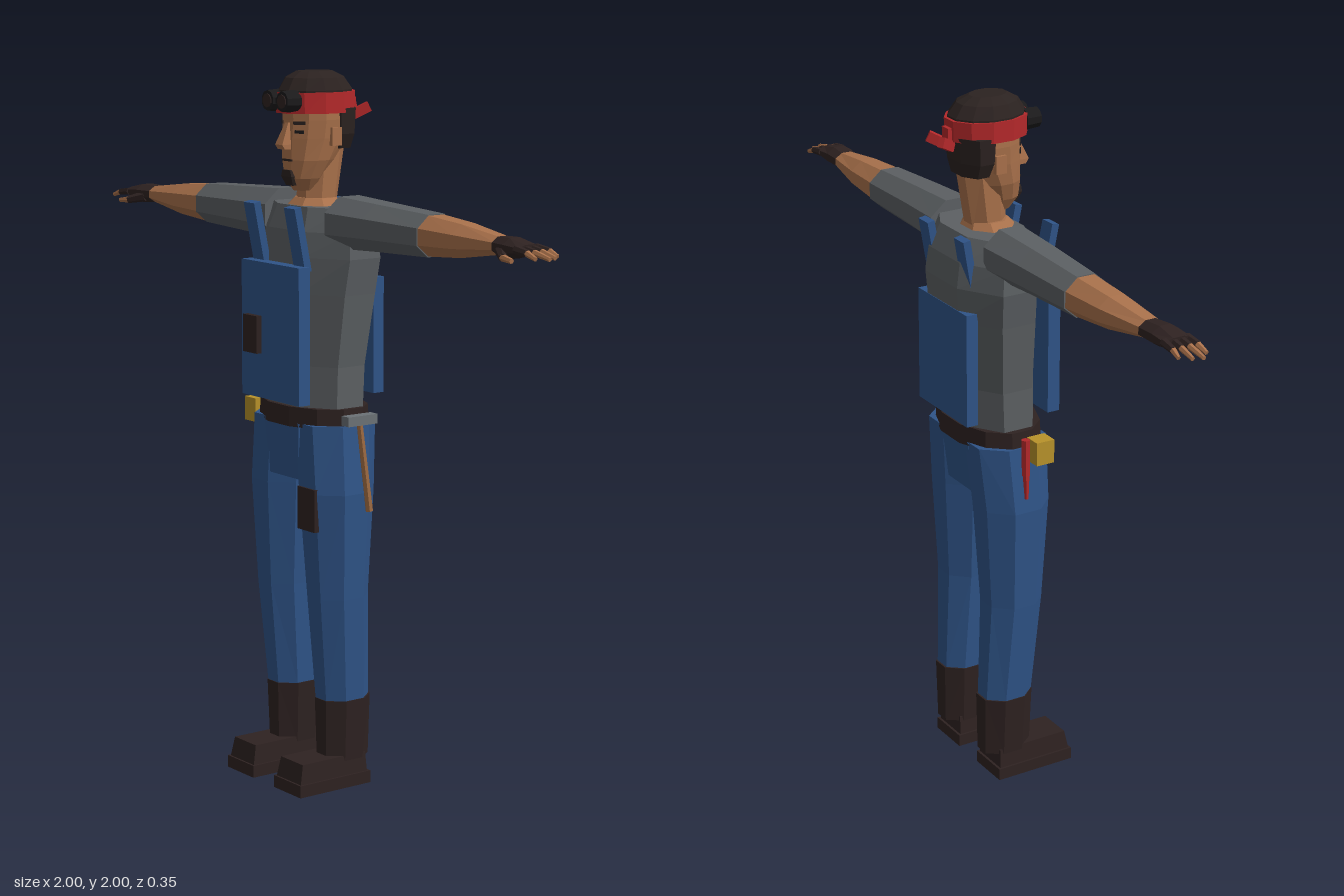
import * as THREE from 'three';

const paint = (name, color) => {
  const m = new THREE.MeshStandardMaterial({ color, flatShading: true });
  m.name = name;
  return m;
};

// Faceted body through rings [t, u0, u1, v0, v1] stacked along an axis.
// axis 1 (y): u = x, v = z.  axis 0 (x): u = z, v = y.
function loft(rings, n = 8, axis = 1) {
  const pos = [], idx = [];
  const grow = n === 4 ? Math.SQRT2 : 1 / Math.cos(Math.PI / n);
  const put = (t, u, v) => {
    const p = [0, 0, 0];
    p[axis] = t; p[(axis + 1) % 3] = v; p[(axis + 2) % 3] = u;
    pos.push(...p);
  };
  for (const [t, u0, u1, v0, v1] of rings) {
    for (let j = 0; j < n; j++) {
      const a = (j + 0.5) / n * Math.PI * 2;
      put(t, (u0 + u1) / 2 + (u1 - u0) / 2 * grow * Math.cos(a),
        (v0 + v1) / 2 + (v1 - v0) / 2 * grow * Math.sin(a));
    }
  }
  const last = (rings.length - 1) * n;
  for (let i = 0; i < last; i += n) {
    for (let j = 0; j < n; j++) {
      const a = i + j, b = i + (j + 1) % n;
      idx.push(a, a + n, b, b, a + n, b + n);
    }
  }
  for (let j = 1; j < n - 1; j++) idx.push(0, j, j + 1, last, last + j + 1, last + j);
  const g = new THREE.BufferGeometry();
  g.setAttribute('position', new THREE.Float32BufferAttribute(pos, 3));
  g.setIndex(idx);
  g.computeVertexNormals();
  return g;
}

// Rings that are symmetric in x: [y, halfWidth, zBack, zFront]
const body = (rings, n) => loft(rings.map(([y, w, b, f]) => [y, -w, w, b, f]), n);

const box = (x0, x1, y0, y1, z0, z1) =>
  new THREE.BoxGeometry(x1 - x0, y1 - y0, z1 - z0)
    .translate((x0 + x1) / 2, (y0 + y1) / 2, (z0 + z1) / 2);

// Tapered rod from p to q
function rod(p, q, r0, r1, n = 6) {
  const a = new THREE.Vector3(...p), b = new THREE.Vector3(...q);
  const d = b.clone().sub(a);
  const g = new THREE.CylinderGeometry(r1, r0, d.length(), n);
  g.applyQuaternion(new THREE.Quaternion().setFromUnitVectors(new THREE.Vector3(0, 1, 0), d.normalize()));
  return g.translate(...a.add(b).multiplyScalar(0.5).toArray());
}

function mirrorX(geo) {
  const g = geo.clone().scale(-1, 1, 1), ix = g.index;
  for (let i = 0; i < ix.count; i += 3) {
    const t = ix.getX(i);
    ix.setX(i, ix.getX(i + 1));
    ix.setX(i + 1, t);
  }
  return g;
}

export function createModel() {
  const denim = paint('denim blue', 0x2f5488);
  const shirt = paint('shirt grey', 0x5c6063);
  const skin = paint('skin', 0xa9714b);
  const leather = paint('dark leather', 0x2e2221);
  const hair = paint('dark hair', 0x2b2220);
  const red = paint('red', 0xb3282a);
  const yellow = paint('yellow', 0xb8922a);
  const metal = paint('metal grey', 0x6c7276);
  const wood = paint('wood', 0x9c6a42);
  const black = paint('black', 0x1b1a1b);

  const model = new THREE.Group();
  model.name = 'worker';
  const add = (name, geo, mat) => {
    const m = new THREE.Mesh(geo, mat);
    m.name = name;
    model.add(m);
  };
  const pair = (name, geo, mat) => {
    add(name + 'Left', geo, mat);
    add(name + 'Right', mirrorX(geo), mat);
  };

  // Legs and boots
  pair('trouserLeg', loft([
    [0.25, 0.055, 0.175, -0.09, 0.058], [0.55, 0.043, 0.194, -0.08, 0.085],
    [0.85, 0.02, 0.208, -0.097, 0.104], [1.04, 0.005, 0.192, -0.113, 0.104]]), denim);
  pair('bootShaft', loft([
    [0.075, 0.06, 0.168, -0.092, 0.055], [0.252, 0.052, 0.178, -0.095, 0.06]]), leather);
  pair('bootFoot', loft([
    [0.03, 0.056, 0.172, -0.063, 0.17], [0.09, 0.062, 0.166, -0.06, 0.158]], 4), leather);
  pair('bootSole', box(0.05, 0.178, 0, 0.035, -0.07, 0.175), leather);
  add('pelvis', body([[0.88, 0.068, -0.092, 0.1], [1.04, 0.082, -0.115, 0.11]], 4), denim);
  add('kneePatch', box(0.075, 0.155, 0.745, 0.865, 0.09, 0.11), leather);

  // Torso, belt and overalls
  add('torso', body([
    [1.04, 0.165, -0.11, 0.105], [1.2, 0.166, -0.118, 0.103], [1.4, 0.19, -0.143, 0.106],
    [1.5, 0.205, -0.15, 0.1], [1.57, 0.2, -0.14, 0.092], [1.635, 0.17, -0.11, 0.07]]), shirt);
  add('belt', body([[1.03, 0.187, -0.125, 0.12], [1.085, 0.182, -0.122, 0.118]], 12), leather);
  add('frontBib', box(-0.135, 0.135, 1.1, 1.48, 0.11, 0.148), denim);
  add('bibPocket', box(-0.105, -0.04, 1.225, 1.33, 0.146, 0.165), leather);
  add('backBib', box(-0.13, 0.13, 1.11, 1.435, -0.147, -0.112), denim);
  const strap = (z, tilt) => new THREE.BoxGeometry(0.05, 0.18, 0.022).rotateX(tilt).translate(0.095, 1.553, z);
  pair('frontStrap', strap(0.122, 0.2), denim);
  pair('backStrap', strap(-0.124, -0.17), denim);

  // Arms, gloves and fingers
  pair('sleeve', loft([
    [0.14, -0.1, 0.065, 1.525, 1.667], [0.3, -0.092, 0.058, 1.532, 1.66],
    [0.515, -0.085, 0.045, 1.538, 1.65]], 8, 0), shirt);
  pair('forearm', loft([
    [0.51, -0.082, 0.042, 1.54, 1.648], [0.65, -0.07, 0.038, 1.55, 1.638],
    [0.81, -0.043, 0.024, 1.575, 1.618]], 8, 0), skin);
  pair('glove', loft([
    [0.795, -0.046, 0.026, 1.572, 1.62], [0.85, -0.044, 0.036, 1.568, 1.622],
    [0.91, -0.045, 0.036, 1.583, 1.61]], 8, 0), leather);
  [[-0.038, 0.968], [-0.015, 0.99], [0.008, 1.0], [0.03, 0.975]].forEach(([z, tip], i) => {
    const mid = [0.94, 1.593, z * 1.08];
    pair('gloveFinger' + i, rod([0.895, 1.598, z], mid, 0.012, 0.01), leather);
    pair('fingertip' + i, rod(mid, [tip, 1.582, z * 1.15], 0.009, 0.006), skin);
  });
  pair('gloveThumb', rod([0.825, 1.588, 0.02], [0.87, 1.576, 0.052], 0.016, 0.011), leather);
  pair('thumbTip', rod([0.866, 1.577, 0.05], [0.908, 1.572, 0.055], 0.01, 0.007), skin);

  // Neck and head
  add('collar', body([[1.625, 0.09, -0.075, 0.07], [1.655, 0.06, -0.06, 0.045]]), skin);
  add('neck', body([[1.63, 0.052, -0.062, 0.042], [1.8, 0.055, -0.09, 0.035]]), skin);
  add('head', body([
    [1.675, 0.028, -0.01, 0.062], [1.71, 0.05, -0.025, 0.086], [1.76, 0.07, -0.055, 0.088],
    [1.82, 0.08, -0.095, 0.087], [1.87, 0.084, -0.1, 0.084], [1.93, 0.082, -0.1, 0.085]], 12), skin);
  add('nose', body([[1.79, 0.017, 0.07, 0.108], [1.803, 0.017, 0.07, 0.117], [1.862, 0.007, 0.07, 0.09]], 4), skin);
  pair('ear', box(0.076, 0.091, 1.8, 1.85, -0.03, 0.002), skin);
  const facePlate = (w, h, y) => new THREE.BoxGeometry(w, h, 0.008).rotateY(0.58).translate(0.038, y, 0.074);
  pair('eye', facePlate(0.026, 0.009, 1.838), black);
  pair('eyebrow', facePlate(0.036, 0.009, 1.862), hair);
  add('mouth', box(-0.022, 0.022, 1.757, 1.763, 0.082, 0.09), hair);
  add('goatee', body([[1.69, 0.016, 0.05, 0.081], [1.715, 0.024, 0.05, 0.092], [1.733, 0.018, 0.05, 0.092]], 4), hair);

  // Hair, headband and goggles
  add('backHair', body([
    [1.79, 0.07, -0.1, -0.015], [1.83, 0.086, -0.108, -0.002], [1.9, 0.089, -0.114, 0.005]]), hair);
  add('topHair', body([
    [1.9, 0.086, -0.115, 0.095], [1.95, 0.086, -0.115, 0.1],
    [1.983, 0.07, -0.09, 0.08], [2.0, 0.04, -0.055, 0.05]], 12), hair);
  add('headband', body([[1.888, 0.092, -0.122, 0.108], [1.945, 0.091, -0.124, 0.111]], 12), red);
  pair('headbandTail', new THREE.BoxGeometry(0.018, 0.028, 0.06).rotateX(0.45).rotateY(-0.5)
    .translate(0.022, 1.885, -0.143), red);
  add('headbandKnot', box(-0.016, 0.016, 1.888, 1.925, -0.135, -0.115), red);
  pair('goggleRim', rod([0.034, 1.922, 0.085], [0.034, 1.922, 0.13], 0.031, 0.028, 10), black);
  pair('goggleLens', rod([0.034, 1.922, 0.125], [0.034, 1.922, 0.133], 0.019, 0.019, 10), leather);
  add('goggleBridge', box(-0.012, 0.012, 1.915, 1.93, 0.1, 0.122), black);

  // Tools on the belt
  add('hammerHandle', rod([0.217, 0.8, -0.033], [0.207, 1.06, -0.004], 0.011, 0.009), wood);
  add('hammerHead', box(0.192, 0.224, 1.045, 1.072, -0.055, 0.045), metal);
  add('tapeMeasure', box(-0.24, -0.188, 1.0, 1.068, 0.01, 0.066), yellow);
  add('screwdriverHandle', rod([-0.208, 0.965, -0.005], [-0.205, 1.07, -0.005], 0.013, 0.013), red);
  add('screwdriverShaft', rod([-0.212, 0.895, -0.005], [-0.208, 0.97, -0.005], 0.006, 0.011), red);

  return model;
}
